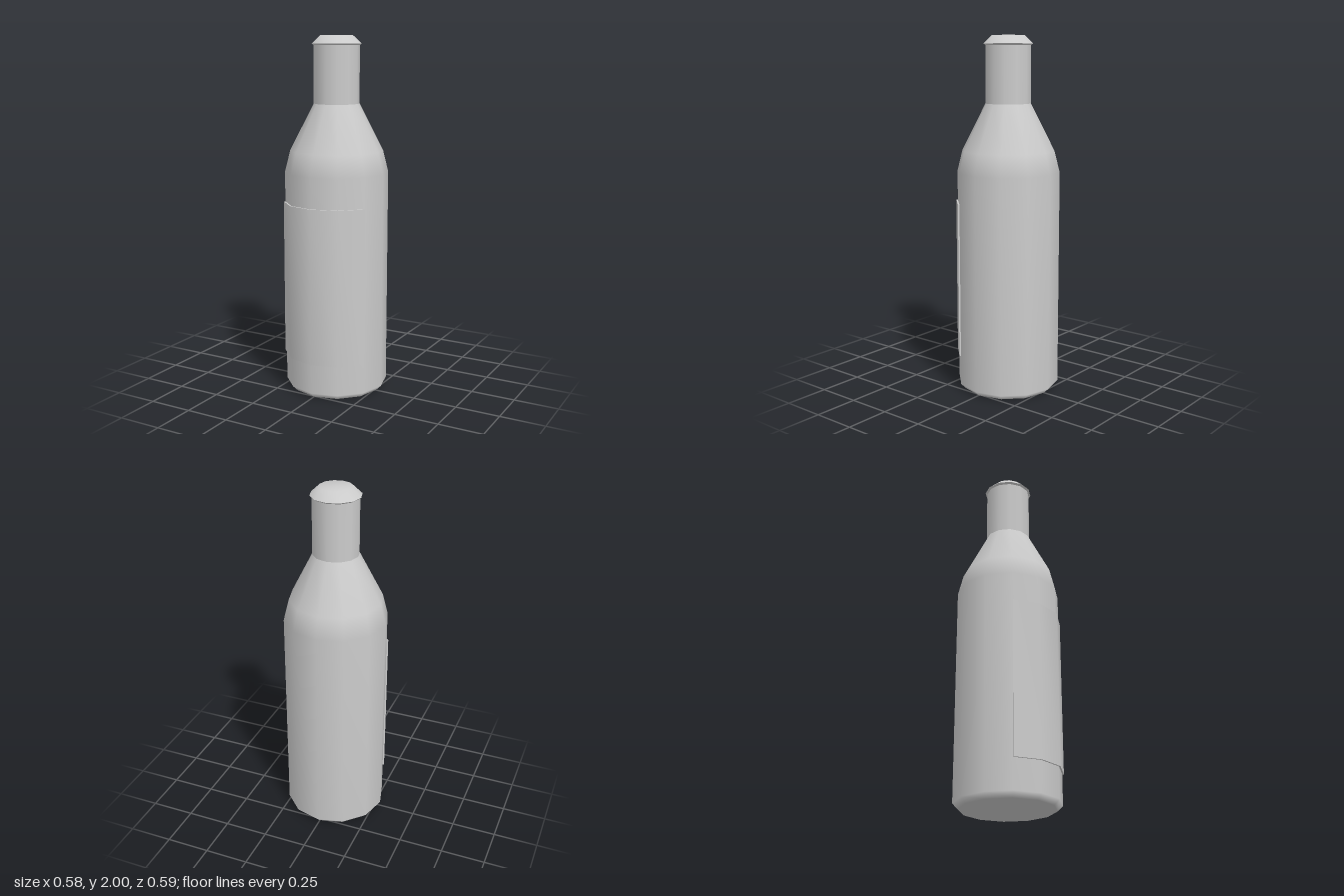
import * as THREE from 'three';
import { toCreasedNormals } from 'three/addons/utils/BufferGeometryUtils.js';

const SIDES = 12;

export function createModel() {
  const bottle = new THREE.Group();
  bottle.name = 'bottle';
  const material = new THREE.MeshStandardMaterial({ color: 0xcccccc });

  const add = (name, geometry) => {
    const mesh = new THREE.Mesh(geometry, material);
    mesh.name = name;
    bottle.add(mesh);
  };
  // Smooth turned part from [radius, height] pairs, listed bottom to top
  const turned = (name, profile) =>
    add(name, new THREE.LatheGeometry(profile.map(([r, y]) => new THREE.Vector2(r, y)), SIDES));

  // Separate pieces keep the creases at the neck and cap sharp
  turned('body', [[0, 0], [0.26, 0], [0.29, 0.03], [0.29, 1.25], [0.26, 1.37], [0.127, 1.63]]);
  turned('neck', [[0.127, 1.63], [0.127, 1.95]]);
  turned('capRim', [[0.125, 1.945], [0.138, 1.955]]);
  turned('cap', [[0.138, 1.955], [0.09, 2], [0, 2]]);

  // Label: a thin band following the four front facets
  const arc = (radius) => [-2, -1, 0, 1, 2].map((i) => {
    const a = (i * 2 * Math.PI) / SIDES;
    return new THREE.Vector2(radius * Math.sin(a), -radius * Math.cos(a));
  });
  const outline = new THREE.Shape([...arc(0.299), ...arc(0.29).reverse()]);
  const label = new THREE.ExtrudeGeometry(outline, { depth: 0.88, bevelEnabled: false });
  label.rotateX(-Math.PI / 2);
  label.translate(0, 0.2, 0);
  add('label', toCreasedNormals(label, 0.7));

  // Centre the depth, allowing for the label
  bottle.children.forEach((mesh) => { mesh.position.z = -0.005; });
  return bottle;
}
